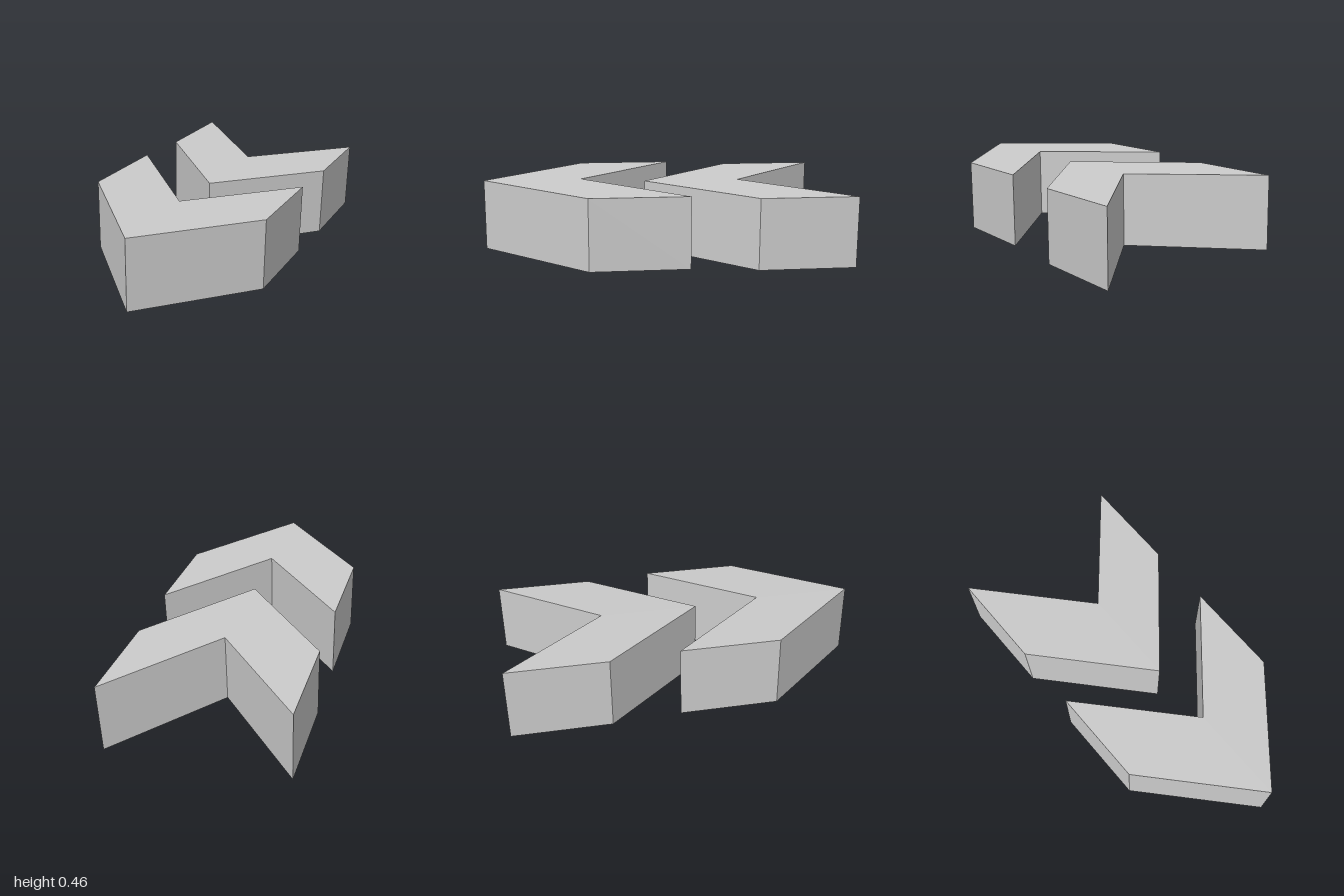
import * as THREE from 'three';

const HEIGHT = 0.39;
const TIP_X = 0.01;

// One V-shaped block: outline in plan (x, -z), extruded upward, then tilted down toward +x.
function chevron(name, z, baseY, material) {
  const outline = [
    [-0.5, -0.445], [TIP_X, -1], [0.49, -0.435],
    [0.49, 0.1], [TIP_X, -0.46], [-0.5, 0.09],
  ].map(([x, y]) => new THREE.Vector2(x, y));
  const geometry = new THREE.ExtrudeGeometry(new THREE.Shape(outline), { depth: HEIGHT, bevelEnabled: false });
  geometry.rotateX(-Math.PI / 2);

  // Each arm slopes from the tip; the top leans slightly sideways.
  const p = geometry.attributes.position;
  for (let i = 0; i < p.count; i++) {
    const x = p.getX(i), y = p.getY(i);
    const slope = x < TIP_X ? 0.046 : 0.061;
    p.setX(i, x + 0.008 * y / HEIGHT);
    p.setY(i, y + 0.03 - slope * (x - TIP_X));
  }
  geometry.computeVertexNormals();

  const mesh = new THREE.Mesh(geometry, material);
  mesh.name = name;
  mesh.position.set(0, baseY, z);
  return mesh;
}

export function createModel() {
  const group = new THREE.Group();
  group.name = 'chevronPair';
  const material = new THREE.MeshStandardMaterial({ color: 0xcccccc, flatShading: true });
  group.add(
    chevron('frontChevron', 0, 0.018, material),
    chevron('backChevron', -0.9, 0, material),
  );
  return group;
}
